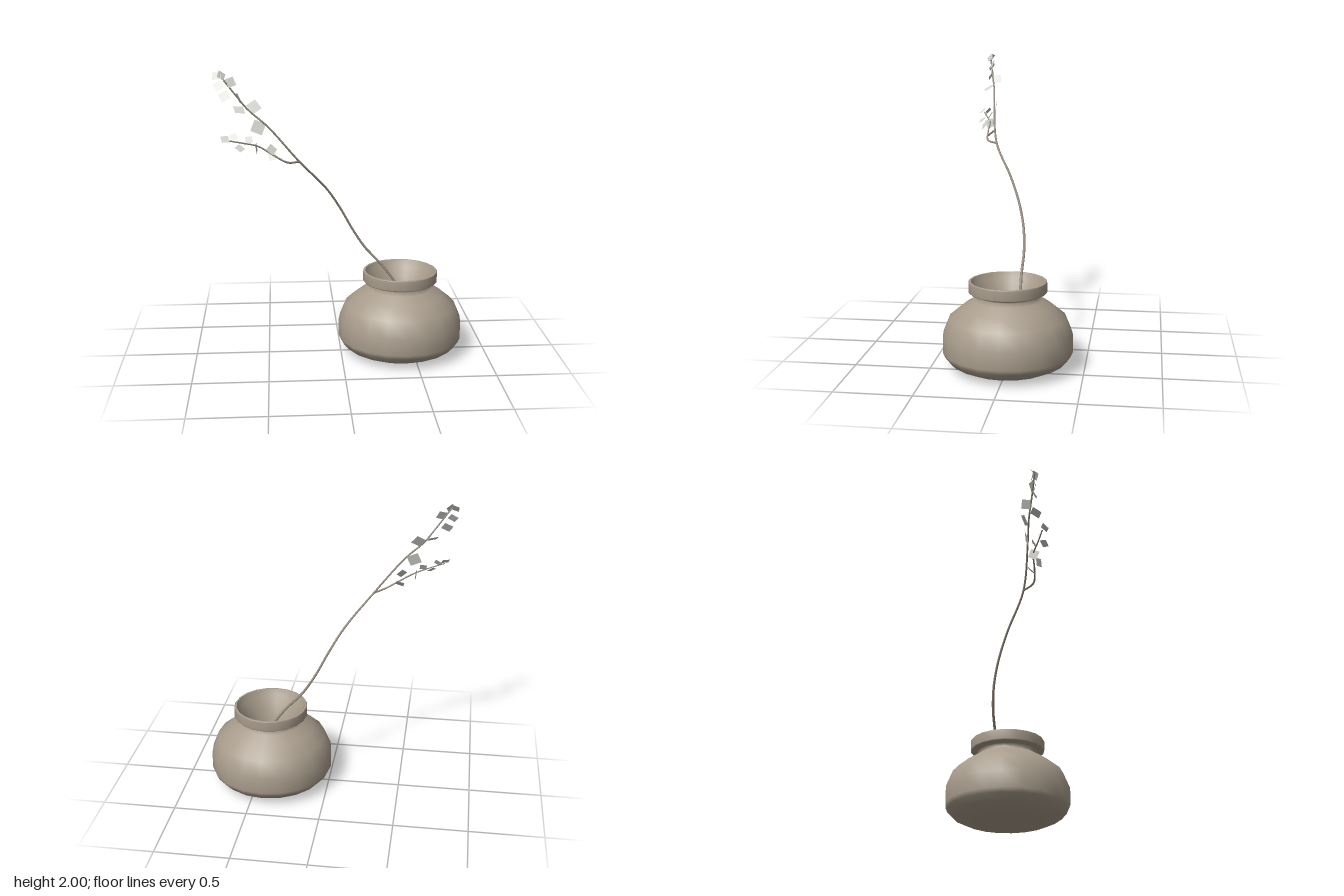
import * as THREE from 'three';

function material(name, color, side = THREE.FrontSide) {
  const m = new THREE.MeshStandardMaterial({ color, side });
  m.name = name;
  return m;
}

// Tapered tube along a smooth curve through the given points
function taperedTube(points, startRadius, endRadius, segments) {
  const sides = 6;
  const curve = new THREE.CatmullRomCurve3(points.map(p => new THREE.Vector3(...p)));
  const geo = new THREE.TubeGeometry(curve, segments, 1, sides);
  const pos = geo.attributes.position;
  const centre = new THREE.Vector3(), v = new THREE.Vector3();
  for (let i = 0; i < pos.count; i++) {
    const t = Math.floor(i / (sides + 1)) / segments;
    curve.getPointAt(t, centre);
    v.fromBufferAttribute(pos, i).sub(centre);
    v.multiplyScalar(THREE.MathUtils.lerp(startRadius, endRadius, t)).add(centre);
    pos.setXYZ(i, v.x, v.y, v.z);
  }
  return geo;
}

export function createModel() {
  const clay = material('clay', 0xa79b8b);
  const dark = material('dark interior', 0x1f1f21);
  const bark = material('bark', 0x9a9182);
  const leafGrey = material('pale leaf', 0xd2d4ce, THREE.DoubleSide);

  const model = new THREE.Group();
  const add = (name, geo, mat, parent = model) => {
    const mesh = new THREE.Mesh(geo, mat);
    mesh.name = name;
    parent.add(mesh);
    return mesh;
  };

  // Pot: separate profiles keep the lip edges crisp
  const pot = new THREE.Group();
  pot.name = 'pot';
  pot.position.x = 0.409;
  model.add(pot);
  const lathe = (name, profile) => add(name,
    new THREE.LatheGeometry(profile.map(p => new THREE.Vector2(...p)), 20), clay, pot);
  lathe('potBody', [[0, 0], [0.22, 0.002], [0.3, 0.015], [0.375, 0.05], [0.412, 0.09],
    [0.425, 0.12], [0.425, 0.235], [0.38, 0.345], [0.295, 0.415], [0.22, 0.462],
    [0.192, 0.483], [0.215, 0.498], [0.25, 0.508]]);
  lathe('potLip', [[0.25, 0.508], [0.256, 0.515], [0.256, 0.575], [0.252, 0.582]]);
  lathe('potRim', [[0.252, 0.582], [0.24, 0.582]]);
  lathe('potInside', [[0.24, 0.582], [0.222, 0.54], [0.18, 0.47], [0.148, 0.38],
    [0.125, 0.29], [0.105, 0.2]]);
  const floor = add('potFloor', new THREE.CircleGeometry(0.107, 20), dark, pot);
  floor.rotation.x = -Math.PI / 2;
  floor.position.y = 0.2;

  // Main stem and its side branch
  add('stem', taperedTube([[0.5, 0.3, -0.085], [0.3, 0.585, -0.073], [0.17, 0.73, -0.075],
    [0.08, 0.87, -0.06], [0, 1.02, -0.02], [-0.1, 1.18, 0.05], [-0.28, 1.39, 0.175],
    [-0.48, 1.63, 0.222], [-0.6, 1.74, 0.24], [-0.67, 1.83, 0.262], [-0.78, 1.98, 0.295]],
    0.01, 0.005, 60), bark);
  const knob = add('stemEnd', new THREE.SphereGeometry(0.011, 6, 4), bark);
  knob.position.set(0.5, 0.3, -0.085);
  add('sideBranch', taperedTube([[-0.28, 1.39, 0.175], [-0.36, 1.402, 0.25], [-0.45, 1.455, 0.262],
    [-0.54, 1.51, 0.262], [-0.64, 1.54, 0.3], [-0.74, 1.565, 0.335]],
    0.007, 0.004, 30), bark);

  // Square leaves: x, y, z, size, facing direction, roll
  const upperLeaves = [
    [-0.79, 1.965, 0.29, 0.055, -0.3, 0.6, 0.7, 0.3],
    [-0.76, 1.965, 0.295, 0.05, 0.5, 0.4, 0.6, 0.9],
    [-0.78, 1.9, 0.285, 0.055, -0.2, 0.5, 0.8, 0.6],
    [-0.705, 1.92, 0.27, 0.058, 0.3, 0.4, 0.8, 0.3],
    [-0.745, 1.835, 0.285, 0.062, -0.1, 0.5, 0.8, 0.5],
    [-0.66, 1.815, 0.228, 0.06, 0.9, 0.4, 0.1, 0.2],
    [-0.655, 1.75, 0.29, 0.065, 0.25, 0.8, 0.45, -0.2],
    [-0.565, 1.755, 0.21, 0.072, 0.1, 0.45, 0.85, 0.6],
    [-0.54, 1.625, 0.22, 0.078, 0.1, 0.25, 0.95, -0.4],
  ];
  const lowerLeaves = [
    [-0.745, 1.575, 0.35, 0.05, 0.2, 0.7, 0.6, 0],
    [-0.695, 1.58, 0.3, 0.045, -0.3, 0.5, 0.7, 0.6],
    [-0.655, 1.515, 0.34, 0.05, 0.3, 0.75, 0.5, 0.5],
    [-0.6, 1.555, 0.27, 0.045, 0, 0.5, 0.8, 0.1],
    [-0.553, 1.5, 0.265, 0.06, 1, 0.1, 0.1, 0.4],
    [-0.457, 1.495, 0.292, 0.055, 0.4, 0.5, 0.8, 0.7],
    [-0.45, 1.44, 0.242, 0.055, -0.2, 0.7, 0.7, 0.4],
  ];
  const leaves = new THREE.Group();
  leaves.name = 'leaves';
  model.add(leaves);
  for (const [x, y, z, size, nx, ny, nz, roll] of [...upperLeaves, ...lowerLeaves]) {
    const leaf = add('leaf', new THREE.PlaneGeometry(size, size), leafGrey, leaves);
    leaf.position.set(x, y, z);
    leaf.lookAt(x + nx, y + ny, z + nz);
    leaf.rotateZ(roll);
  }
  return model;
}
